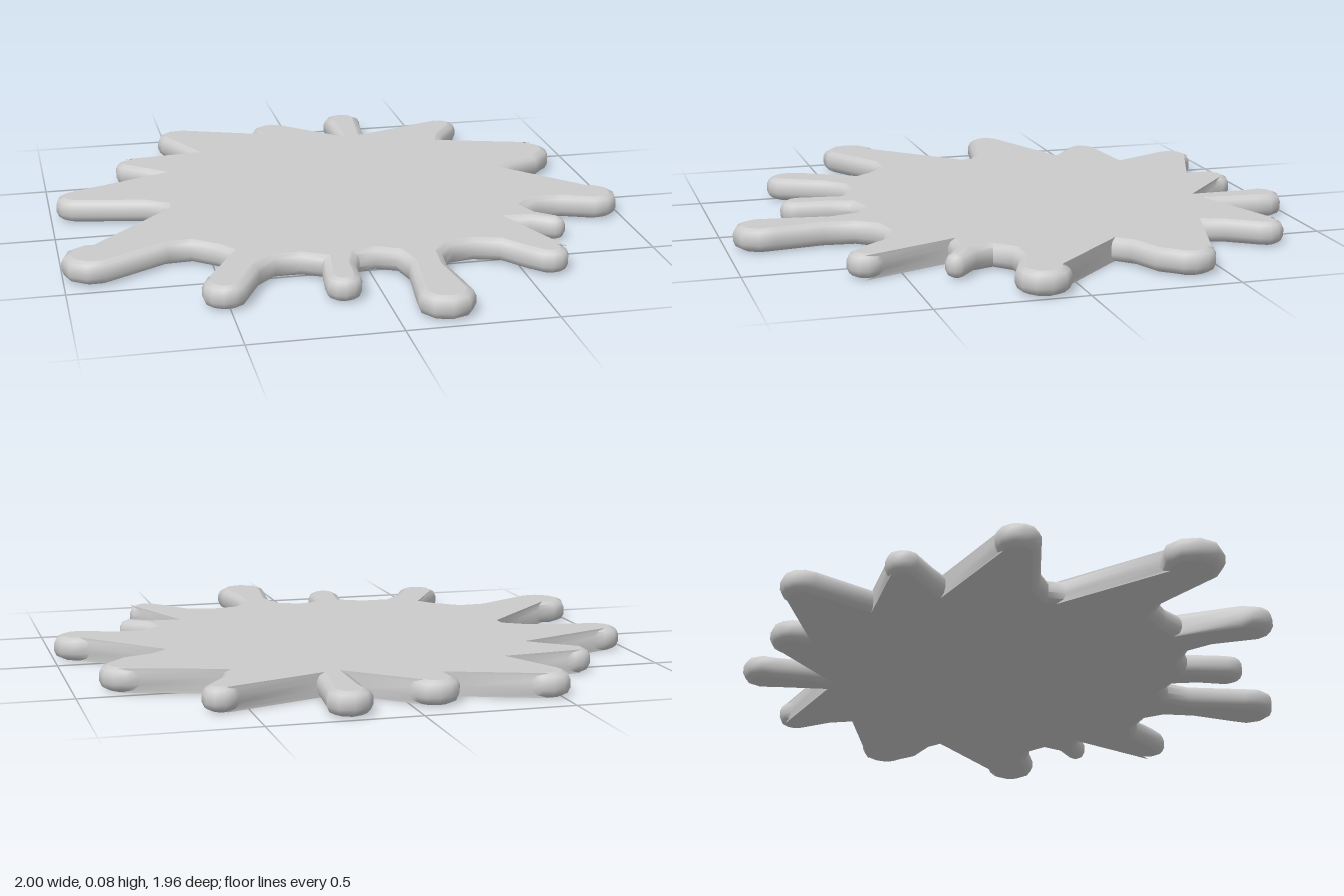
import * as THREE from 'three';
import { toCreasedNormals } from 'three/addons/utils/BufferGeometryUtils.js';

const TIP_STEPS = 6;

// Edge profile of the slab: [inset, height], bottom to top
const PROFILE = [[0.028, 0], [0.008, 0.01], [0, 0.028], [0, 0.053], [0.008, 0.071], [0.028, 0.081]];

// Outline of the splat in (x, z): rounded arm tips joined by valleys.
// cut marks the straight, unbevelled edge of an arm: 'in' before its tip, 'out' after it.
function buildOutline() {
  const points = []; // each { x, z, cut }, cut belonging to the edge that leaves the point
  const arm = (cx, cz, r, from, to, cut, valley) => {
    if (cut === 'in') points[points.length - 1].cut = true;
    for (let i = 0; i <= TIP_STEPS; i++) {
      const a = THREE.MathUtils.degToRad(from + (to - from) * i / TIP_STEPS);
      points.push({ x: cx + r * Math.cos(a), z: cz + r * Math.sin(a), cut: false });
    }
    if (cut === 'out') points[points.length - 1].cut = true;
    for (const [x, z] of valley) points.push({ x, z, cut: false });
  };
  // back and left side
  arm(0.215, -0.91, 0.075, 150, 390, '', [[0.26, -0.69]]);
  arm(0.585, -0.765, 0.06, 200, 400, 'in', [[0.56, -0.625], [0.535, -0.55]]);
  arm(0.82, -0.39, 0.09, 250, 420, 'in', [[0.83, -0.27], [0.725, -0.23], [0.675, -0.18]]);
  arm(0.907, 0.125, 0.09, 255, 460, 'in', [[0.78, 0.17], [0.69, 0.165], [0.64, 0.21], [0.66, 0.27]]);
  arm(0.695, 0.345, 0.037, -30, 130, '', [[0.61, 0.335], [0.53, 0.33]]);
  // front
  arm(0.59, 0.615, 0.062, -60, 130, 'in',
    [[0.5, 0.61], [0.44, 0.53], [0.36, 0.505], [0.28, 0.52], [0.235, 0.58], [0.225, 0.68]]);
  arm(0.16, 0.88, 0.095, -25, 205, '',
    [[0.1, 0.64], [0.08, 0.55], [0.02, 0.52], [-0.04, 0.535], [-0.065, 0.615]]);
  arm(-0.13, 0.705, 0.06, 0, 190, '', [[-0.17, 0.55], [-0.235, 0.515], [-0.315, 0.515], [-0.38, 0.58]]);
  arm(-0.508, 0.675, 0.075, 40, 225, 'out', [[-0.45, 0.45], [-0.495, 0.385], [-0.57, 0.325], [-0.645, 0.33]]);
  // right side and back
  arm(-0.897, 0.355, 0.105, 70, 290, 'out', [[-0.62, 0.01], [-0.62, -0.05], [-0.68, -0.09]]);
  arm(-0.905, -0.21, 0.075, 110, 300, 'out', [[-0.585, -0.385], [-0.635, -0.43]]);
  arm(-0.675, -0.535, 0.06, 140, 310, 'out', [[-0.435, -0.6]]);
  arm(-0.465, -0.835, 0.075, 150, 335, 'out', [[-0.16, -0.78]]);
  arm(-0.085, -0.83, 0.082, 190, 360, 'out', [[0.15, -0.69]]);
  return points;
}

// Moves every edge inwards by the inset, except the cut edges
function insetRing(points, inset) {
  const n = points.length;
  const edges = points.map((p, i) => {
    const q = points[(i + 1) % n];
    const len = Math.hypot(q.x - p.x, q.z - p.z);
    return { nx: (q.z - p.z) / len, nz: (p.x - q.x) / len, d: p.cut ? 0 : -inset };
  });
  return points.map((p, i) => {
    const a = edges[(i + n - 1) % n], b = edges[i];
    const det = a.nx * b.nz - a.nz * b.nx;
    if (Math.abs(det) < 0.3) { // nearly straight: move along the mean normal
      const d = (a.d + b.d) / 2;
      return new THREE.Vector2(p.x + (a.nx + b.nx) / 2 * d, p.z + (a.nz + b.nz) / 2 * d);
    }
    return new THREE.Vector2(
      p.x + (a.d * b.nz - b.d * a.nz) / det,
      p.z + (a.nx * b.d - b.nx * a.d) / det);
  });
}

function makeGeometry(rings, heights, index) {
  const positions = rings.flatMap((ring, k) => ring.flatMap(p => [p.x, heights[k], p.y]));
  const geometry = new THREE.BufferGeometry();
  geometry.setAttribute('position', new THREE.Float32BufferAttribute(positions, 3));
  geometry.setIndex(index);
  geometry.computeVertexNormals();
  return geometry;
}

export function createModel() {
  const group = new THREE.Group();
  group.name = 'splat';
  const material = new THREE.MeshStandardMaterial({ color: 0xcccccc });
  const add = (name, geometry) => {
    const mesh = new THREE.Mesh(geometry, material);
    mesh.name = name;
    group.add(mesh);
  };

  const outline = buildOutline();
  const n = outline.length;
  const rings = PROFILE.map(([inset]) => insetRing(outline, inset));
  const heights = PROFILE.map(([, y]) => y);

  // rounded rim
  const rim = [];
  for (let k = 0; k < rings.length - 1; k++) {
    for (let i = 0; i < n; i++) {
      const j = (i + 1) % n;
      const a = k * n + i, b = k * n + j;
      rim.push(a, a + n, b, b, a + n, b + n);
    }
  }
  add('rim', toCreasedNormals(makeGeometry(rings, heights, rim), 0.95));

  // flat faces
  const last = rings.length - 1;
  const top = THREE.ShapeUtils.triangulateShape(rings[last], []).flatMap(([a, b, c]) => [a, c, b]);
  const bottom = THREE.ShapeUtils.triangulateShape(rings[0], []).flat();
  add('topFace', makeGeometry([rings[last]], [heights[last]], top));
  add('bottomFace', makeGeometry([rings[0]], [heights[0]], bottom));
  return group;
}
